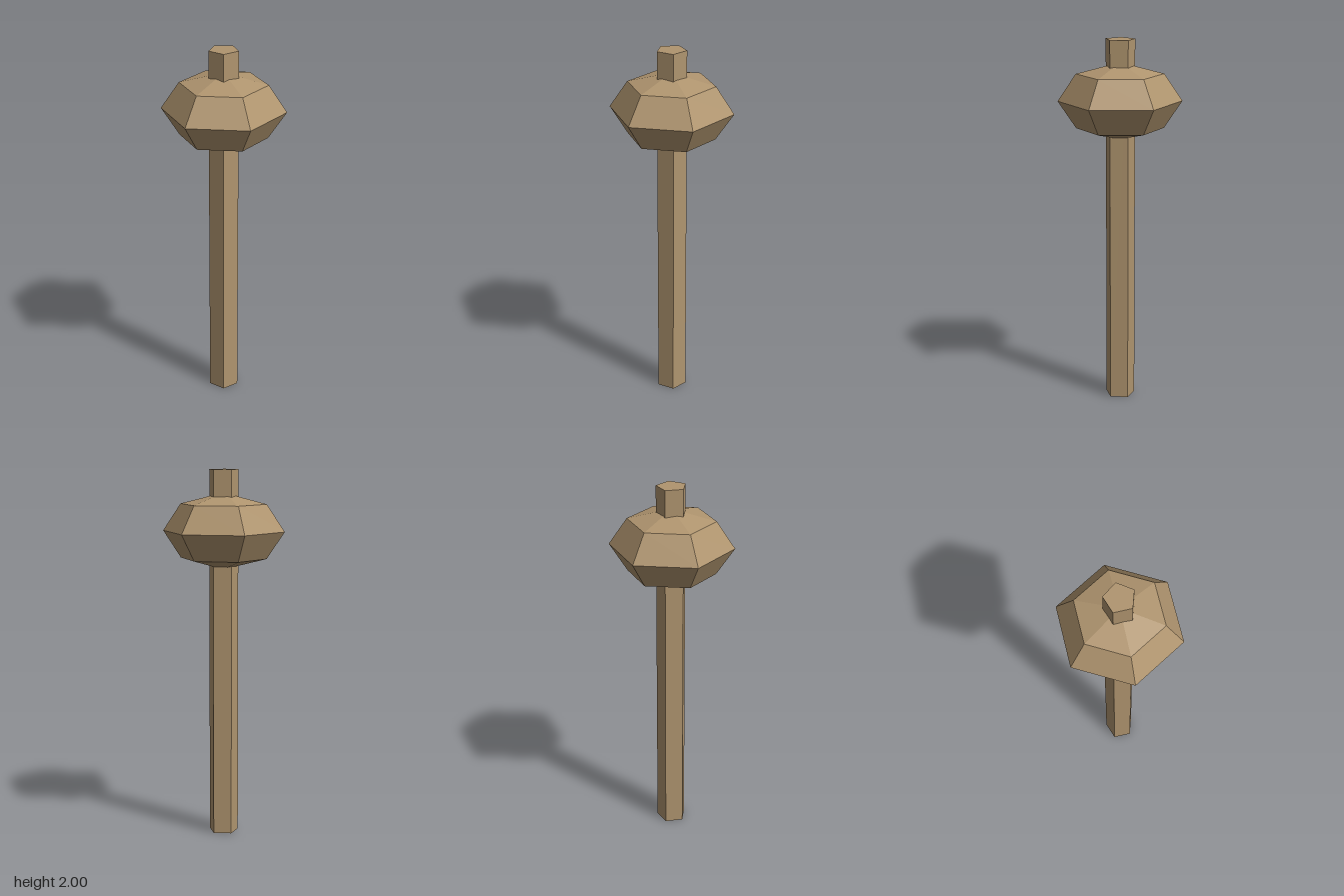
import * as THREE from 'three';

export function createModel() {
  const model = new THREE.Group();
  const wood = new THREE.MeshStandardMaterial({ color: 0xb0956f, flatShading: true });

  const addPart = (name, geometry, y) => {
    const mesh = new THREE.Mesh(geometry, wood);
    mesh.name = name;
    mesh.position.y = y;
    model.add(mesh);
  };

  // five-sided shaft, flat side to the front, passing through the head
  addPart('shaft', new THREE.CylinderGeometry(0.0825, 0.0825, 2, 5).rotateY(Math.PI), 1);

  // squashed six-sided head with corners to front and back
  addPart('head', new THREE.SphereGeometry(0.333, 6, 4).rotateY(Math.PI / 2).scale(1, 0.62, 1), 1.67);

  return model;
}
